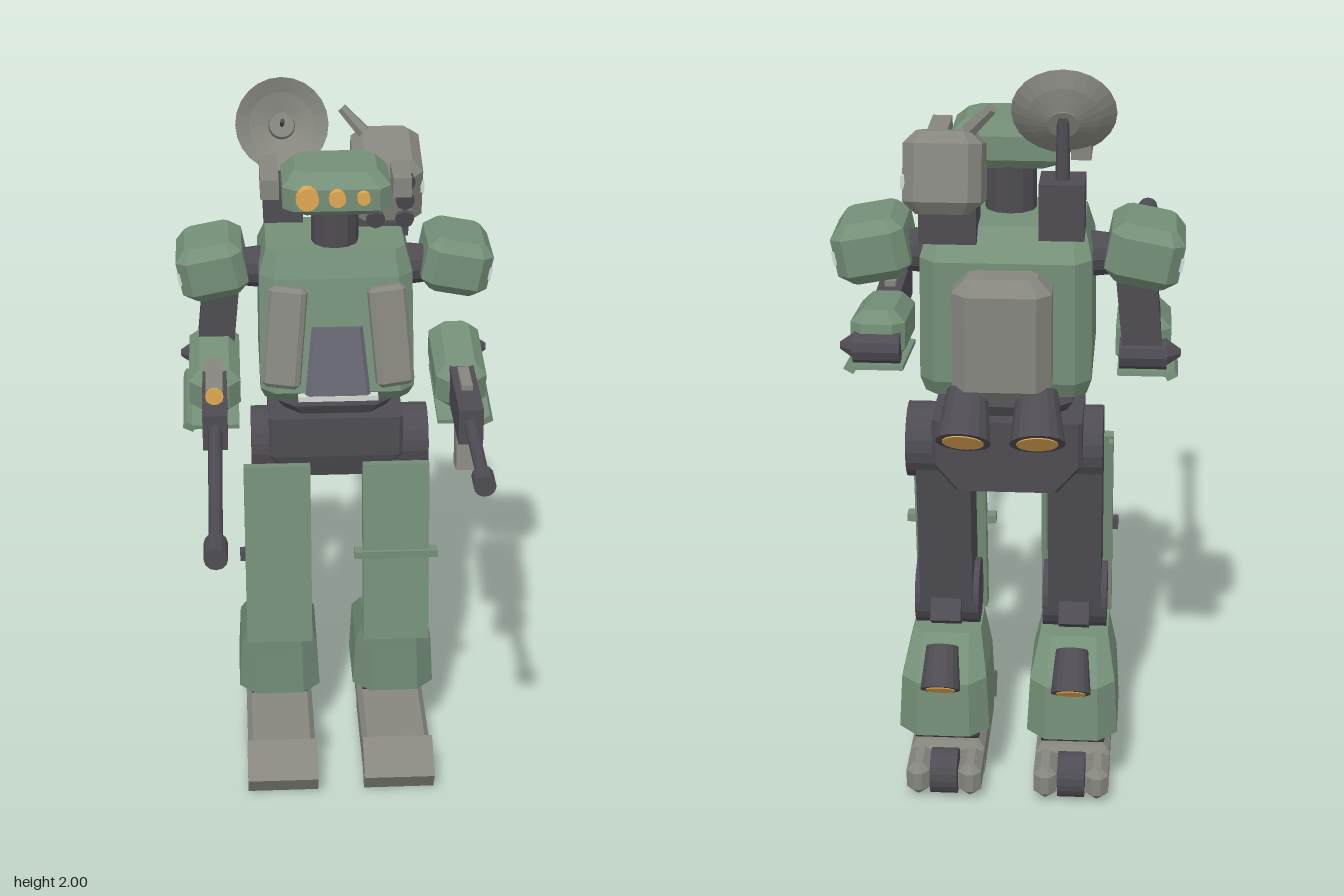
import * as THREE from 'three';

const mat = (color) => new THREE.MeshStandardMaterial({ color, flatShading: true, side: THREE.DoubleSide });
const GREEN = mat(0x748f78), DARK = mat(0x4e4c52), GREY = mat(0x86867f);
const AMBER = mat(0xe0a850), PALE = mat(0xd2dad2), PANEL = mat(0x666672);

function add(parent, name, geo, material, pos = [0, 0, 0], rot = [0, 0, 0]) {
  const m = new THREE.Mesh(geo, material);
  m.name = name;
  m.position.set(...pos);
  m.rotation.set(...rot);
  parent.add(m);
  return m;
}

// Stacked chamfered rectangles; each section is [y, halfWidth, zBack, zFront, chamfer]
function loft(sections) {
  const rings = sections.map(([y, h, b, f, c]) => [
    [-h + c, f], [h - c, f], [h, f - c], [h, b + c], [h - c, b], [-h + c, b], [-h, b + c], [-h, f - c],
  ].map(([x, z]) => [x, y, z]));
  const p = [];
  const tri = (a, b, c) => p.push(...a, ...b, ...c);
  for (let r = 0; r + 1 < rings.length; r++) {
    for (let i = 0; i < 8; i++) {
      const j = (i + 1) % 8, lo = rings[r], hi = rings[r + 1];
      tri(lo[i], lo[j], hi[j]);
      tri(lo[i], hi[j], hi[i]);
    }
  }
  const bottom = rings[0], top = rings[rings.length - 1];
  for (let i = 1; i < 7; i++) {
    tri(top[0], top[i], top[i + 1]);
    tri(bottom[0], bottom[i + 1], bottom[i]);
  }
  const g = new THREE.BufferGeometry();
  g.setAttribute('position', new THREE.Float32BufferAttribute(p, 3));
  g.computeVertexNormals();
  return g;
}

// Box with all edges chamfered, centred on its origin
const chamferBox = (w, h, d, c) => loft([
  [-h / 2, w / 2 - c, -d / 2 + c, d / 2 - c, c * 0.5],
  [-h / 2 + c, w / 2, -d / 2, d / 2, c],
  [h / 2 - c, w / 2, -d / 2, d / 2, c],
  [h / 2, w / 2 - c, -d / 2 + c, d / 2 - c, c * 0.5],
]);
const box = (w, h, d) => new THREE.BoxGeometry(w, h, d);

// Round bar from a to b
function rod(parent, name, a, b, ra, rb, material, sides = 16) {
  const va = new THREE.Vector3(...a), vb = new THREE.Vector3(...b);
  const m = add(parent, name, new THREE.CylinderGeometry(rb, ra, va.distanceTo(vb), sides), material);
  m.position.copy(va).lerp(vb, 0.5);
  m.quaternion.setFromUnitVectors(new THREE.Vector3(0, 1, 0), vb.sub(va).normalize());
  return m;
}

// Flared thruster with a glowing disc inside the mouth
function thruster(parent, a, b, ra, rb) {
  rod(parent, 'thruster', a, b, ra, rb, DARK, 16);
  const e = b.map((v, i) => v + (v - a[i]) * 0.02);
  rod(parent, 'thrusterGlow', b, e, rb * 0.75, rb * 0.75, AMBER, 16);
}

function buildTorso(root) {
  const g = new THREE.Group();
  g.name = 'torso';
  root.add(g);
  add(g, 'chest', loft([
    [1.18, 0.2, -0.57, -0.2, 0.03], [1.22, 0.213, -0.59, -0.16, 0.04],
    [1.53, 0.21, -0.59, -0.23, 0.04], [1.6, 0.19, -0.51, -0.26, 0.03]]), GREEN);
  add(g, 'hatch', loft([[1.21, 0.09, -0.25, -0.14, 0.01], [1.4, 0.07, -0.27, -0.19, 0.01]]), PANEL);
  add(g, 'chestStrip', box(0.22, 0.015, 0.03), PALE, [0, 1.21, -0.155]);
  for (const s of [-1, 1]) {
    add(g, 'chestPanel', chamferBox(0.105, 0.28, 0.045, 0.012), GREY, [s * 0.145, 1.385, -0.17], [-0.22, s * 0.2, s * 0.09]);
    thruster(g, [s * 0.085, 1.23, -0.67], [s * 0.09, 1.13, -0.755], 0.05, 0.068);
  }
  add(g, 'backpack', chamferBox(0.24, 0.31, 0.14, 0.035), GREY, [0, 1.37, -0.66]);
  add(g, 'waist', loft([
    [1.08, 0.14, -0.48, -0.3, 0.05], [1.12, 0.165, -0.5, -0.28, 0.05], [1.19, 0.13, -0.47, -0.3, 0.05]]), DARK);
  add(g, 'pelvis', loft([
    [0.9, 0.13, -0.53, -0.28, 0.01], [0.97, 0.19, -0.53, -0.26, 0.01], [1.09, 0.19, -0.53, -0.26, 0.01]]), DARK);
}

function buildHead(root) {
  const g = new THREE.Group();
  g.name = 'head';
  root.add(g);
  rod(g, 'neck', [0, 1.58, -0.34], [0, 1.74, -0.34], 0.065, 0.065, DARK, 12);
  add(g, 'helmet', loft([
    [1.715, 0.11, -0.4, -0.23, 0.03], [1.74, 0.145, -0.42, -0.19, 0.03],
    [1.8, 0.145, -0.42, -0.19, 0.03], [1.835, 0.11, -0.4, -0.23, 0.03]]), GREEN);
  for (const [x, r] of [[-0.08, 0.031], [0, 0.023], [0.07, 0.018]])
    rod(g, 'lens', [x, 1.78, -0.2], [x, 1.78, -0.17], r, r, AMBER);
  for (const s of [-1, 1]) add(g, 'earPod', box(0.05, 0.055, 0.2), GREY, [s * 0.178, 1.78, -0.35]);

  // Dish antenna on its mast
  add(g, 'mastBase', box(0.11, 0.14, 0.12), DARK, [-0.137, 1.66, -0.53]);
  rod(g, 'mast', [-0.137, 1.7, -0.54], [-0.137, 1.88, -0.53], 0.018, 0.015, DARK, 8);
  const dish = new THREE.Group();
  dish.name = 'dish';
  dish.position.set(-0.137, 1.88, -0.49);
  dish.rotation.x = Math.PI / 2 - 0.43;
  g.add(dish);
  const profile = [[0, -0.045], [0.035, -0.042], [0.09, -0.02], [0.128, 0.005]].map((q) => new THREE.Vector2(...q));
  add(dish, 'dishBowl', new THREE.LatheGeometry(profile, 24), GREY);
  rod(dish, 'dishHub', [0, -0.045, 0], [0, -0.015, 0], 0.038, 0.034, GREY);
  rod(dish, 'dishFeed', [0, -0.02, 0], [0, 0.1, 0], 0.006, 0.006, DARK, 6);

  // Tilted multi-tube launcher
  const launcher = new THREE.Group();
  launcher.name = 'launcher';
  launcher.position.set(0.15, 1.73, -0.49);
  launcher.rotation.x = 0.25;
  g.add(launcher);
  add(launcher, 'launcherBody', chamferBox(0.19, 0.2, 0.24, 0.03), GREY);
  add(launcher, 'launcherStrip', box(0.01, 0.035, 0.2), PALE, [0.094, 0, 0], [-0.25, 0, 0]);
  for (const x of [-0.035, 0.045])
    for (const y of [-0.06, 0, 0.06])
      rod(launcher, 'launchTube', [x, y, 0.1], [x, y, 0.135], 0.026, 0.026, DARK, 8);
  rod(launcher, 'launcherSight', [-0.06, 0.1, -0.06], [-0.12, 0.155, -0.1], 0.02, 0.014, GREY, 6);
  add(g, 'launcherMount', box(0.14, 0.1, 0.14), DARK, [0.14, 1.62, -0.5]);
}

// side is -1 for the long gun, +1 for the short gun
function buildArm(root, side) {
  const g = new THREE.Group();
  g.name = side < 0 ? 'rightArm' : 'leftArm';
  root.add(g);
  const x = side * 0.338;
  rod(g, 'shoulderJoint', [side * 0.19, 1.5, -0.4], [side * 0.28, 1.5, -0.4], 0.06, 0.05, DARK, 12);
  const shoulder = add(g, 'shoulder', chamferBox(0.185, 0.155, 0.24, 0.03), GREEN, [x, 1.52, -0.4], [0, 0, -side * 0.19]);
  add(shoulder, 'shoulderStrip', box(0.012, 0.035, 0.19), PALE, [side * 0.09, 0, 0]);
  if (side < 0) add(g, 'upperArm', box(0.1, 0.24, 0.11), DARK, [-0.325, 1.37, -0.38], [0, 0, -0.1]);
  add(g, 'forearm', chamferBox(0.14, 0.13, 0.3, 0.03), GREEN, [x, 1.25, -0.27], [0.12, 0, 0]);
  add(g, 'forearmFin', box(0.03, 0.02, 0.28), GREEN, [side * 0.41, 1.16, -0.26], [0.12, 0, side * 0.5]);
  add(g, 'forearmPlate', box(0.13, 0.012, 0.3), GREEN, [x, 1.165, -0.26], [0.12, 0, 0]);
  rod(g, 'elbow', [x - 0.06, 1.24, -0.41], [x + 0.06, 1.24, -0.41], 0.04, 0.04, DARK, 10);
  rod(g, 'elbowCap', [x + side * 0.06, 1.24, -0.4], [x + side * 0.095, 1.24, -0.4], 0.035, 0.01, DARK, 8);

  // Gun
  const tip = side < 0 ? 0.8 : 0.47, y = 1.255;
  add(g, 'gunBody', box(0.066, 0.1, 0.28), DARK, [x, 1.25, -0.01]);
  rod(g, 'barrel', [x, y, 0.1], [x, y, tip - 0.03], 0.019, 0.017, DARK, 12);
  rod(g, 'muzzle', [x, y, tip - (side < 0 ? 0.08 : 0.06)], [x, y, tip], 0.029, 0.029, DARK, 12);
  if (side < 0) {
    add(g, 'gunSight', box(0.045, 0.035, 0.2), GREY, [x, 1.33, -0.03]);
    rod(g, 'sightLens', [x, 1.33, 0.07], [x, 1.33, 0.076], 0.024, 0.024, AMBER);
  } else {
    add(g, 'magazine', box(0.055, 0.12, 0.07), GREY, [x, 1.13, 0], [-0.2, 0, 0]);
    add(g, 'gunTopRail', box(0.03, 0.02, 0.12), GREY, [x, 1.305, -0.05]);
  }
}

function buildLeg(root, side) {
  const g = new THREE.Group();
  g.name = side < 0 ? 'rightLeg' : 'leftLeg';
  g.position.x = side * 0.17;
  root.add(g);
  const axle = (name, y, z, r, a, b, sides = 20) => rod(g, name, [a, y, z], [b, y, z], r, r, DARK, sides);

  // Upper leg
  axle('hipJoint', 0.975, -0.37, 0.098, -0.07, 0.095);
  add(g, 'thigh', box(0.14, 0.48, 0.175), DARK, [0, 0.745, -0.34], [-0.127, 0, 0]);
  axle('kneeJoint', 0.51, -0.31, 0.088, -0.085, 0.085);
  add(g, 'kneeHinge', box(0.08, 0.06, 0.06), DARK, [0, 0.49, -0.4], [0.6, 0, 0]);
  const plate = add(g, 'thighPlate', box(0.19, 0.545, 0.03), GREEN, [0, 0.68, -0.215], [-0.13, 0, 0]);
  for (const s of [-1, 1]) add(plate, 'plateFlange', box(0.012, 0.53, 0.025), GREEN, [s * 0.089, 0, -0.025]);
  if (side > 0) add(g, 'plateBar', box(0.24, 0.022, 0.035), GREEN, [0, 0.68, -0.21]);
  else add(g, 'plateLatch', box(0.02, 0.03, 0.03), DARK, [-0.1, 0.68, -0.22]);

  // Lower leg
  add(g, 'shin', loft([
    [0.19, 0.12, -0.54, -0.23, 0.05], [0.34, 0.112, -0.53, -0.225, 0.045], [0.43, 0.09, -0.41, -0.22, 0.03]]), GREEN);
  thruster(g, [0, 0.45, -0.525], [0, 0.36, -0.595], 0.042, 0.052);
  axle('ankle', 0.17, -0.385, 0.065, -0.085, 0.085);

  // Foot
  add(g, 'sole', box(0.2, 0.07, 0.37), GREY, [0, 0.045, -0.24]);
  add(g, 'instep', loft([[0.08, 0.1, -0.425, -0.055, 0.01], [0.1, 0.085, -0.41, -0.08, 0.01]]), GREY);
  for (const s of [-1, 1]) add(g, 'heel', chamferBox(0.062, 0.09, 0.14, 0.02), GREY, [s * 0.069, 0.055, -0.485]);
  add(g, 'toe', box(0.205, 0.072, 0.13), GREY, [0, 0.07, -0.03], [0.56, 0, 0]);
  axle('heelWheel', 0.062, -0.5, 0.06, -0.036, 0.036);
  add(g, 'solePad', box(0.14, 0.02, 0.3), DARK, [0, 0.01, -0.25]);
}

export function createModel() {
  const root = new THREE.Group();
  root.name = 'walker';
  buildTorso(root);
  buildHead(root);
  for (const side of [-1, 1]) {
    buildArm(root, side);
    buildLeg(root, side);
  }
  return root;
}
